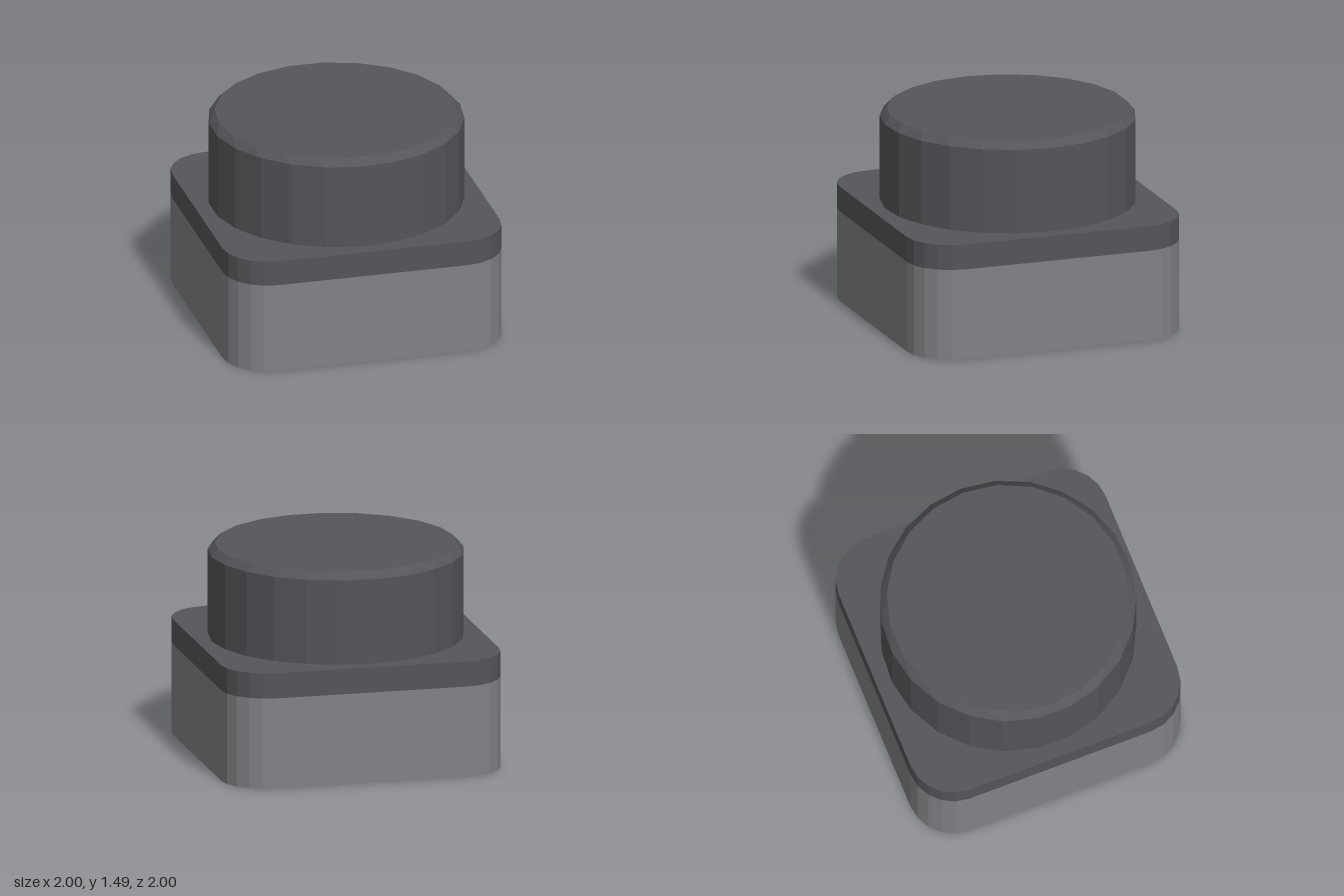
import * as THREE from 'three';
import { ConvexGeometry } from 'three/addons/geometries/ConvexGeometry.js';

const material = (color) => new THREE.MeshStandardMaterial({ color, flatShading: true });

// Square outline with rounded corners, each made of five straight segments
function roundedSquare(half, radius, segments) {
  const points = [];
  const inner = half - radius;
  for (let corner = 0; corner < 4; corner++) {
    const start = corner * Math.PI / 2;
    const middle = start + Math.PI / 4;
    for (let i = 0; i <= segments; i++) {
      const a = start + (i / segments) * Math.PI / 2;
      points.push(new THREE.Vector2(
        Math.sign(Math.cos(middle)) * inner + radius * Math.cos(a),
        Math.sign(Math.sin(middle)) * inner + radius * Math.sin(a)
      ));
    }
  }
  return new THREE.Shape(points);
}

// Upright slab between two heights
function slab(name, bottom, top, mat) {
  const geometry = new THREE.ExtrudeGeometry(roundedSquare(1, 0.32, 5), { depth: top - bottom, bevelEnabled: false });
  geometry.rotateX(-Math.PI / 2).translate(0, bottom, 0);
  const mesh = new THREE.Mesh(geometry, mat);
  mesh.name = name;
  return mesh;
}

// Ring of points with its first corner on +x
function ring(radius, y, sides) {
  return Array.from({ length: sides }, (_, i) => {
    const a = (i / sides) * Math.PI * 2;
    return new THREE.Vector3(radius * Math.cos(a), y, -radius * Math.sin(a));
  });
}

export function createModel() {
  const group = new THREE.Group();
  group.name = 'bottle';
  const dark = material(0x55555a);
  const light = material(0x828287);

  // Square body and the darker shoulder above it
  group.add(slab('body', 0, 0.65, light), slab('shoulder', 0.65, 0.83, dark));

  // Round cap: 23-sided wall, chamfered to a 22-sided top
  const cap = new THREE.Mesh(new ConvexGeometry([
    ...ring(0.895, 0.83, 23),
    ...ring(0.895, 1.435, 23),
    ...ring(0.845, 1.487, 22),
  ]), dark);
  cap.name = 'cap';
  group.add(cap);

  return group;
}
